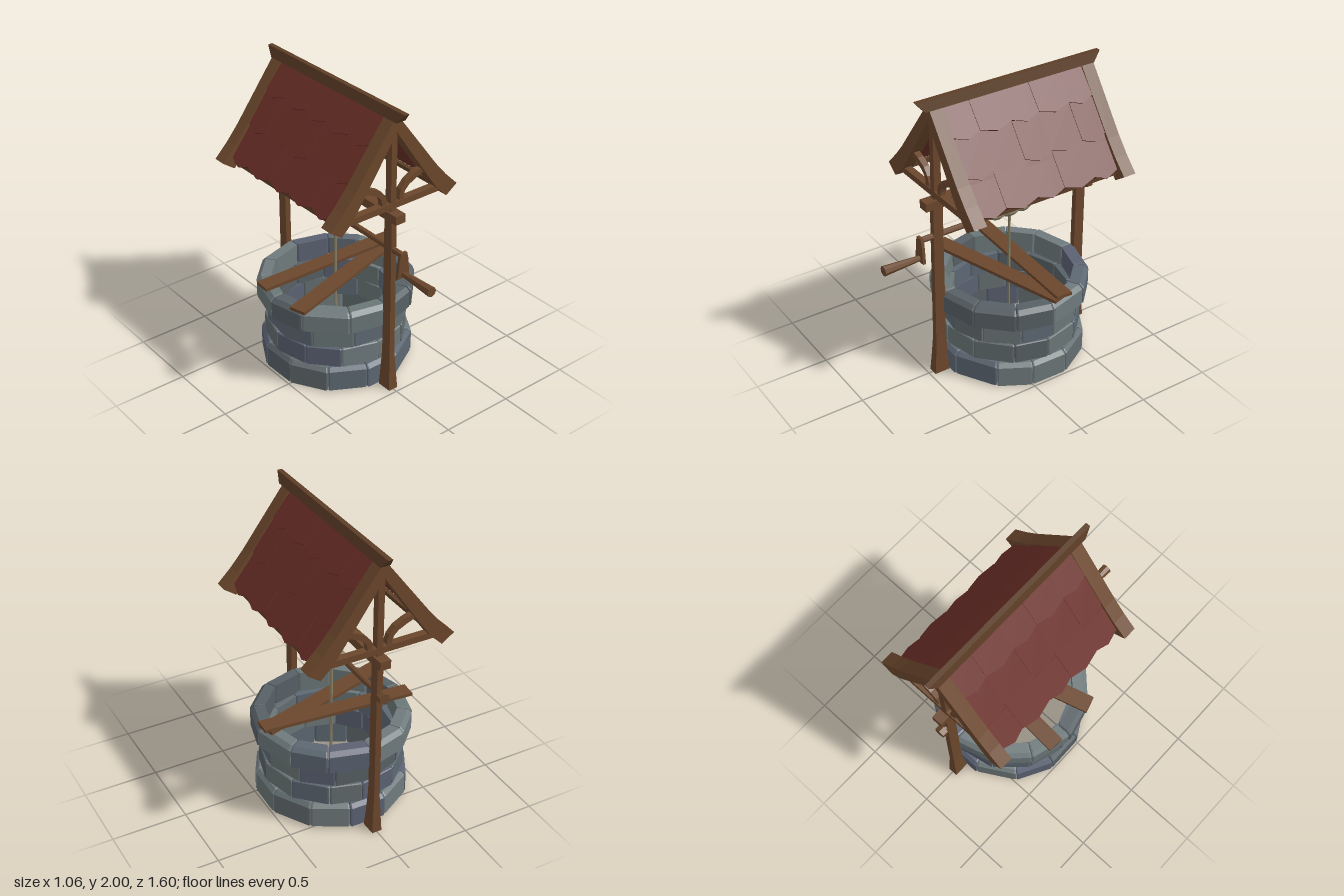
import * as THREE from 'three';

const mat = (color) => new THREE.MeshStandardMaterial({ color, flatShading: true });
const wood = mat(0x6b472c), woodDark = mat(0x5c3d26), red = mat(0x6a2e27), rope = mat(0x8a8066);
const stones = [0x6a7677, 0x5d6873, 0x636d70, 0x5b6172, 0x6f7a7c, 0x576065].map(mat);
const ZC = -0.135; // centre of the well shaft
const POSTS = [0.41, -0.69];

let seed = 7;
const rnd = () => (seed = (seed * 16807) % 2147483647) / 2147483647;

function add(parent, name, geo, material, x = 0, y = 0, z = 0) {
  const m = new THREE.Mesh(geo, material);
  m.name = name;
  m.position.set(x, y, z);
  parent.add(m);
  return m;
}

// Flat-shaded skin over matching rings, capped at both ends
function loft(rings) {
  const p = [], n = rings[0].length, last = rings.length - 1;
  const tri = (...v) => v.forEach((q) => p.push(...q));
  for (let i = 0; i < last; i++) for (let j = 0; j < n; j++) {
    const k = (j + 1) % n, a = rings[i], b = rings[i + 1];
    tri(a[j], a[k], b[k]);
    tri(a[j], b[k], b[j]);
  }
  for (let j = 1; j < n - 1; j++) {
    tri(rings[0][0], rings[0][j + 1], rings[0][j]);
    tri(rings[last][0], rings[last][j], rings[last][j + 1]);
  }
  const g = new THREE.BufferGeometry();
  g.setAttribute('position', new THREE.Float32BufferAttribute(p, 3));
  g.computeVertexNormals();
  return g;
}

// Horizontal rectangle used as a loft section
const rect = (y, hx, z0, z1) => [[-hx, y, z0], [-hx, y, z1], [hx, y, z1], [hx, y, z0]];

const box = (w, h, d) => new THREE.BoxGeometry(w, h, d);

// Shape in x/y, extruded along z
function extrude(pts, depth) {
  const shape = new THREE.Shape(pts.map(([x, y]) => new THREE.Vector2(x, y)));
  return new THREE.ExtrudeGeometry(shape, { depth, bevelEnabled: false });
}

// One bevelled stone between two angles
function block(a0, a1, ri, ro, y0, y1, b) {
  const profile = [[ri, y0], [ri, y1], [ro - b, y1], [ro, y1 - b], [ro, y0]];
  const rm = (ri + ro) / 2, ym = (y0 + y1) / 2;
  return loft([[0, 0.9], [0.04, 1], [0.96, 1], [1, 0.9]].map(([t, k]) => {
    const s = THREE.MathUtils.lerp(Math.sin(a0), Math.sin(a1), t);
    const c = THREE.MathUtils.lerp(Math.cos(a0), Math.cos(a1), t);
    return profile.map(([r, y]) => {
      const rr = rm + (r - rm) * k;
      return [rr * s, ym + (y - ym) * (k + 1) / 2, rr * c];
    });
  }));
}

function buildWall() {
  const wall = new THREE.Group();
  wall.name = 'stoneWall';
  wall.position.z = ZC;
  // inner radius, outer radius, bottom, top, bevel, first joint in degrees
  const courses = [
    [0.425, 0.512, 0.01, 0.177, 0.025, 15],
    [0.39, 0.482, 0.18, 0.317, 0.006, -2],
    [0.39, 0.472, 0.32, 0.462, 0.006, 5],
    [0.425, 0.528, 0.465, 0.61, 0.028, 0],
  ];
  courses.forEach(([ri, ro, y0, y1, b, start]) => {
    const joints = Array.from({ length: 12 }, (_, i) => start + i * 30 + (rnd() - 0.5) * 5);
    joints.forEach((j, i) => {
      const next = i < 11 ? joints[i + 1] : joints[0] + 360;
      const a0 = THREE.MathUtils.degToRad(j + 0.3), a1 = THREE.MathUtils.degToRad(next - 0.3);
      const out = ro - rnd() * 0.008;
      add(wall, 'stone', block(a0, a1, ri, out, y0, y1, b), stones[Math.floor(rnd() * stones.length)]);
    });
  });
  return wall;
}

function buildFrame() {
  const frame = new THREE.Group();
  frame.name = 'frame';
  POSTS.forEach((z) => {
    add(frame, 'post', loft([
      rect(0, 0.034, z - 0.048, z + 0.058), rect(0.12, 0.028, z - 0.042, z + 0.048),
      rect(0.28, 0.02, z - 0.036, z + 0.038), rect(1.27, 0.02, z - 0.034, z + 0.034),
    ]), wood);
    add(frame, 'kingPost', box(0.042, 0.57, 0.05), wood, 0, 1.59, z);
    add(frame, 'tieBeam', box(0.76, 0.042, 0.05), wood, 0, 1.357, z);
    for (const s of [-1, 1]) {
      // Curved brace: outer arc then inner arc back
      const arc = (pts) => new THREE.CatmullRomCurve3(pts.map(([x, y]) => new THREE.Vector3(s * x, y, 0)))
        .getPoints(5).map((v) => [v.x, v.y]);
      const outer = arc([[0.05, 1.37], [0.053, 1.43], [0.12, 1.505], [0.25, 1.55]]);
      const inner = arc([[0.27, 1.52], [0.14, 1.47], [0.088, 1.42], [0.085, 1.37]]);
      add(frame, 'brace', extrude([...outer, ...inner], 0.04), wood, 0, 0, z - 0.02);
      // Rafter, widening towards the eaves
      const rafter = [[0, 1.965], [0.03, 1.93], [0.315, 1.55], [0.4, 1.45], [0.495, 1.355],
        [0.412, 1.296], [0.33, 1.376], [0.25, 1.49], [0, 1.857]].map(([x, y]) => [s * x, y]);
      add(frame, 'rafter', extrude(rafter, 0.09), wood, 0, 0, z > 0 ? 0.365 : -0.745);
    }
  });
  add(frame, 'longBeam', box(0.074, 0.058, 1.285), wood, 0, 1.292, -0.138);
  return frame;
}

function buildRoof() {
  const roof = new THREE.Group();
  roof.name = 'roof';
  const columns = [0.365, 0.18, -0.05, -0.25, -0.48, -0.655];
  const rows = [[0.005, 1.94, 0.162, 1.752], [0.135, 1.765, 0.302, 1.545], [0.275, 1.565, 0.442, 1.352]];
  for (const s of [-1, 1]) {
    // Boarding under the tiles
    const deck = [[0, 1.93], [0.29, 1.55], [0.42, 1.375], [0.41, 1.36], [0.275, 1.54], [0, 1.9]];
    add(roof, 'roofBoards', extrude(deck.map(([x, y]) => [s * x, y]), 1.02), red, 0, 0, -0.655);
    add(roof, 'eaveBatten', box(0.03, 0.026, 1.02), woodDark, s * 0.395, 1.346, -0.145);
    // Pointed tiles, each row lapping over the next
    rows.forEach(([x0, y0, x1, y1], r) => {
      const d = new THREE.Vector3(s * (x1 - x0), y1 - y0, 0);
      const len = d.length();
      d.normalize();
      const u = new THREE.Vector3(0, 0, s), n = new THREE.Vector3().crossVectors(u, d);
      for (let c = 0; c < 5; c++) {
        const h = (columns[c] - columns[c + 1]) / 2, lift = (c + r) % 2 ? 0.004 : 0;
        const tile = extrude([[-h, 0], [h, 0], [h, len - 0.034], [0, len], [-h, len - 0.034]], 0.014);
        const pos = new THREE.Vector3(s * x0, y0, columns[c] - h).addScaledVector(n, lift - 0.012);
        tile.applyMatrix4(new THREE.Matrix4().makeBasis(u, d, n).setPosition(pos));
        add(roof, 'roofTile', tile, red);
      }
    });
  }
  add(roof, 'ridgeCap', loft([rect(1.935, 0.034, -0.745, 0.485), rect(2, 0.016, -0.8, 0.54)]), woodDark);
  return roof;
}

function buildWinch() {
  const winch = new THREE.Group();
  winch.name = 'winch';
  const rod = (name, r0, r1, z0, z1, y, sides, m) => // r1 is the radius at z1
    add(winch, name, new THREE.CylinderGeometry(r1, r0, z1 - z0, sides).rotateX(Math.PI / 2), m, 0, y, (z0 + z1) / 2);
  rod('axle', 0.02, 0.02, -0.77, 0.54, 1.052, 8, wood);
  rod('axleCap', 0.038, 0.038, -0.78, -0.738, 1.052, 6, wood);
  add(winch, 'crankArm', loft([rect(0.9, 0.046, 0.522, 0.543), rect(1.03, 0.034, 0.522, 0.543),
    rect(1.075, 0.024, 0.522, 0.543)]), wood);
  rod('handle', 0.018, 0.034, 0.535, 0.8, 0.925, 8, wood);
  // Wound rope with three bulges, and the hanging rope
  const coil = [[0, -0.157], [0.026, -0.155], [0.04, -0.12], [0.042, -0.09], [0.032, -0.055], [0.044, -0.02],
    [0.044, 0.02], [0.032, 0.055], [0.042, 0.09], [0.04, 0.12], [0.026, 0.155], [0, 0.157]];
  add(winch, 'ropeCoil', new THREE.LatheGeometry(coil.map(([r, y]) => new THREE.Vector2(r, y)), 10)
    .rotateX(Math.PI / 2), rope, 0, 1.052, ZC);
  add(winch, 'hangingRope', new THREE.CylinderGeometry(0.01, 0.01, 1, 6), rope, 0, 0.54, ZC);
  return winch;
}

// Loose plank between two points on the rim
function plank(parent, a, b, width) {
  const p = new THREE.Vector3(...a), q = new THREE.Vector3(...b);
  const d = q.clone().sub(p), len = d.length();
  const m = add(parent, 'plank', box(len, 0.022, width), wood);
  m.position.copy(p).add(q).multiplyScalar(0.5);
  m.rotation.set(0, Math.atan2(-d.z, d.x), Math.asin(d.y / len), 'YZX');
}

export function createModel() {
  const well = new THREE.Group();
  well.name = 'well';
  well.add(buildWall(), buildFrame(), buildRoof(), buildWinch());
  plank(well, [-0.49, 0.624, 0.1], [0.5, 0.624, -0.19], 0.115);
  plank(well, [-0.51, 0.634, -0.255], [0.53, 0.66, -0.195], 0.11);
  return well;
}
